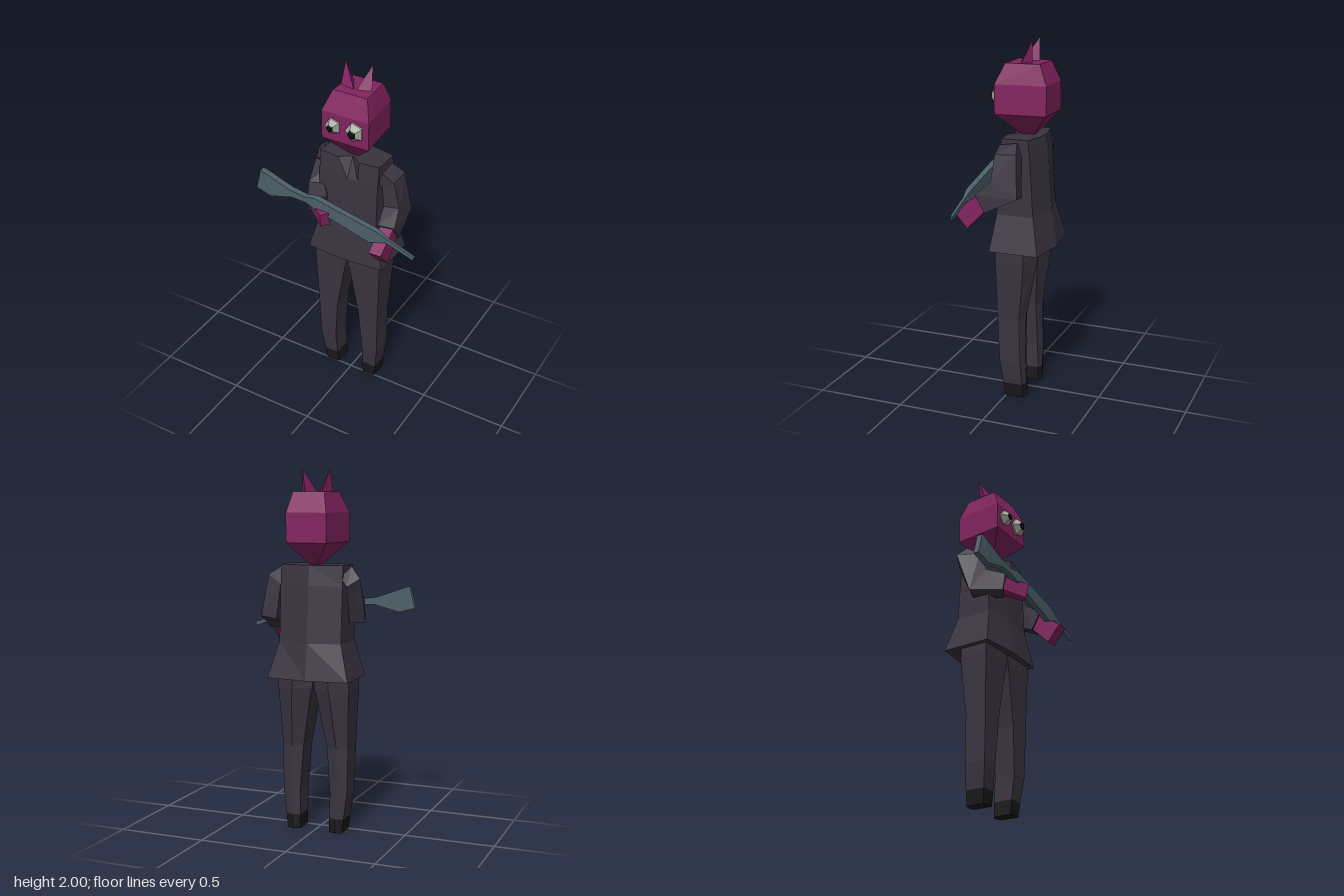
import * as THREE from 'three';

const mat = (color) => new THREE.MeshStandardMaterial({ color, flatShading: true });
const SUIT = mat(0x39333f), SHOE = mat(0x19171a), SKIN = mat(0x82235f);
const STEEL = mat(0x4c5f69), EYE = mat(0xa5a5a0), BLACK = mat(0x0c0c0c);
const V = (x, y, z) => new THREE.Vector3(x, y, z);

// Closed faceted solid through rings of equal point count, turned outward by its signed volume
function loft(name, rings, material) {
  const tris = [], n = rings[0].length;
  const mid = (r) => r.reduce((s, p) => s.add(p), V(0, 0, 0)).divideScalar(n);
  for (let i = 0; i + 1 < rings.length; i++) {
    for (let j = 0; j < n; j++) {
      const k = (j + 1) % n, a = rings[i], b = rings[i + 1];
      tris.push([a[j], a[k], b[k]], [a[j], b[k], b[j]]);
    }
  }
  const first = rings[0], last = rings[rings.length - 1];
  const c0 = mid(first), c1 = mid(last);
  for (let j = 0; j < n; j++) {
    const k = (j + 1) % n;
    tris.push([c0, first[k], first[j]], [c1, last[j], last[k]]);
  }
  let volume = 0;
  for (const [a, b, c] of tris) {
    volume += a.clone().sub(c0).dot(b.clone().sub(c0).cross(c.clone().sub(c0)));
  }
  if (volume < 0) tris.forEach((t) => t.reverse());
  const geometry = new THREE.BufferGeometry().setFromPoints(tris.flat());
  geometry.computeVertexNormals();
  const mesh = new THREE.Mesh(geometry, material);
  mesh.name = name;
  return mesh;
}

// Box-section limb along a bent path; each stop is [x, y, z, halfSide, halfDepth]
function limb(name, stops, side, material) {
  const pts = stops.map((s) => V(s[0], s[1], s[2]));
  const rings = pts.map((p, i) => {
    const dir = V(0, 0, 0);
    if (i > 0) dir.add(p.clone().sub(pts[i - 1]).normalize());
    if (i + 1 < pts.length) dir.add(pts[i + 1].clone().sub(p).normalize());
    dir.normalize();
    const v = dir.clone().cross(side).normalize();
    const u = v.clone().cross(dir).normalize();
    return [[1, 1], [-1, 1], [-1, -1], [1, -1]].map(([a, b]) =>
      p.clone().addScaledVector(u, a * stops[i][3]).addScaledVector(v, b * stops[i][4]));
  });
  return loft(name, rings, material);
}

function jacket() {
  // y, half width, front z, front middle z, back corner z, back middle z
  const rows = [
    [0.87, 0.235, 0.07, 0.088, -0.21, -0.238],
    [1.07, 0.18, 0.045, 0.062, -0.165, -0.205],
    [1.38, 0.18, 0.03, 0.04, -0.145, -0.185],
    [1.49, 0.18, 0.015, -0.02, -0.135, -0.17],
  ];
  return loft('jacket', rows.map(([y, w, f, fm, b, bm]) => {
    const q = w * 0.36, fq = f + 0.012;
    return [V(w, y, f), V(q, y, fq), V(0, y, fm), V(-q, y, fq), V(-w, y, f),
      V(-w, y, b), V(0, y, bm), V(w, y, b)];
  }), SUIT);
}

function leg(s, side) {
  // y, inner x, outer x, front z, back corner z, back ridge z
  const rows = [
    [0.92, 0, 0.205, 0.045, -0.12, -0.17],
    [0.81, 0.006, 0.208, 0.045, -0.12, -0.165],
    [0.77, 0.018, 0.206, 0.043, -0.118, -0.16],
    [0.48, 0.07, 0.195, 0.036, -0.09, -0.11],
    [0.22, 0.09, 0.19, 0.028, -0.095, -0.108],
    [0.08, 0.087, 0.172, 0.012, -0.1, -0.112],
    [0, 0.086, 0.163, 0.004, -0.1, -0.115],
  ];
  const rings = rows.map(([y, i, o, f, b, r]) => [V(s * o, y, f), V(s * i, y, f),
    V(s * i, y, b), V(s * (i + o) / 2, y, r), V(s * o, y, b)]);
  const group = new THREE.Group();
  group.name = side + 'Leg';
  group.add(loft(side + 'Trouser', rings.slice(0, 6), SUIT), loft(side + 'Foot', rings.slice(5), SHOE));
  return group;
}

function head() {
  const group = new THREE.Group();
  group.name = 'head';
  // y, front left/right x, back left/right x, front z, back z
  const rows = [
    [1.485, -0.02, 0.022, -0.018, 0.018, -0.04, -0.105],
    [1.61, -0.137, 0.145, -0.113, 0.118, 0.07, -0.213],
    [1.77, -0.137, 0.145, -0.113, 0.118, 0.07, -0.213],
    [1.88, -0.096, 0.108, -0.085, 0.095, 0.022, -0.168],
  ];
  group.add(loft('skull', rows.map(([y, fl, fr, bl, br, f, b]) =>
    [V(fl, y, f), V(fr, y, f), V(br, y, b), V(bl, y, b)]), SKIN));

  // Pointed ears, leaning apart
  const ear = (name, tip, base) => loft(name, [base.map(([x, z]) => V(x, 1.87, z)), [tip, tip, tip]], SKIN);
  group.add(
    ear('rightEar', V(-0.09, 2, -0.1), [[0.004, -0.026], [-0.09, -0.045], [-0.045, -0.115]]),
    ear('leftEar', V(0.062, 2, -0.113), [[0.008, -0.026], [0.09, -0.057], [0.05, -0.108]]));

  // Five-sided bulging eyes
  const disc = (name, r0, r1, z0, z1, x, turn, material) => {
    const g = new THREE.CylinderGeometry(r1, r0, z1 - z0, 5);
    g.rotateY(turn).rotateX(Math.PI / 2).translate(x, 1.7, (z0 + z1) / 2);
    const mesh = new THREE.Mesh(g, material);
    mesh.name = name;
    group.add(mesh);
  };
  for (const [side, x, r, turn] of [['right', -0.065, 0.046, -Math.PI / 2], ['left', 0.065, 0.055, -Math.PI / 2]]) {
    disc(side + 'EyeBase', r, r, 0.05, 0.08, x, turn, EYE);
    disc(side + 'EyeDome', r, r * 0.5, 0.08, 0.108, x, turn, EYE);
    disc(side + 'Pupil', r * 0.5, r * 0.36, 0.108, 0.113, x, turn, BLACK);
  }
  return group;
}

function gun() {
  // Top x and y, bottom x and y, half thickness, from butt to muzzle
  const rows = [
    [-0.46, 1.365, -0.49, 1.245, 0.016],
    [-0.44, 1.36, -0.40, 1.22, 0.019],
    [-0.27, 1.30, -0.26, 1.257, 0.018],
    [-0.18, 1.287, -0.17, 1.252, 0.017],
    [-0.11, 1.297, -0.12, 1.23, 0.018],
    [0.255, 1.217, 0.215, 1.132, 0.016],
    [0.298, 1.198, 0.298, 1.155, 0.011],
    [0.318, 1.187, 0.312, 1.16, 0.008],
    [0.484, 1.126, 0.477, 1.105, 0.007],
  ];
  return loft('gun', rows.map(([tx, ty, bx, by, h]) => {
    const z = 0.172;
    return [V(tx, ty, z + h), V(bx, by, z + h), V(bx, by, z - h), V(tx, ty, z - h)];
  }), STEEL);
}

export function createModel() {
  const model = new THREE.Group();
  model.name = 'figure';
  model.add(jacket(), leg(1, 'left'), leg(-1, 'right'), head(), gun());

  // Left arm hangs bent forward under the fore-end
  const out = V(1, 0, 0);
  model.add(
    limb('leftSleeve', [[0.18, 1.43, -0.04, 0.045, 0.05], [0.235, 1.4, -0.045, 0.045, 0.06],
      [0.265, 1.235, -0.045, 0.045, 0.085], [0.28, 1.16, 0.085, 0.048, 0.055]], out, SUIT),
    limb('leftHand', [[0.28, 1.165, 0.075, 0.038, 0.045], [0.282, 1.06, 0.198, 0.036, 0.06]], out, SKIN));

  // Right arm folds across the front to the grip
  const slant = V(-0.9, 0, 0.4);
  model.add(
    limb('rightSleeve', [[-0.17, 1.43, -0.07, 0.045, 0.055], [-0.21, 1.4, -0.07, 0.042, 0.065],
      [-0.21, 1.235, 0, 0.045, 0.075], [-0.14, 1.215, 0.12, 0.053, 0.05]], slant, SUIT),
    limb('rightHand', [[-0.145, 1.215, 0.11, 0.04, 0.038], [-0.045, 1.19, 0.2, 0.026, 0.042]], slant, SKIN));
  return model;
}
